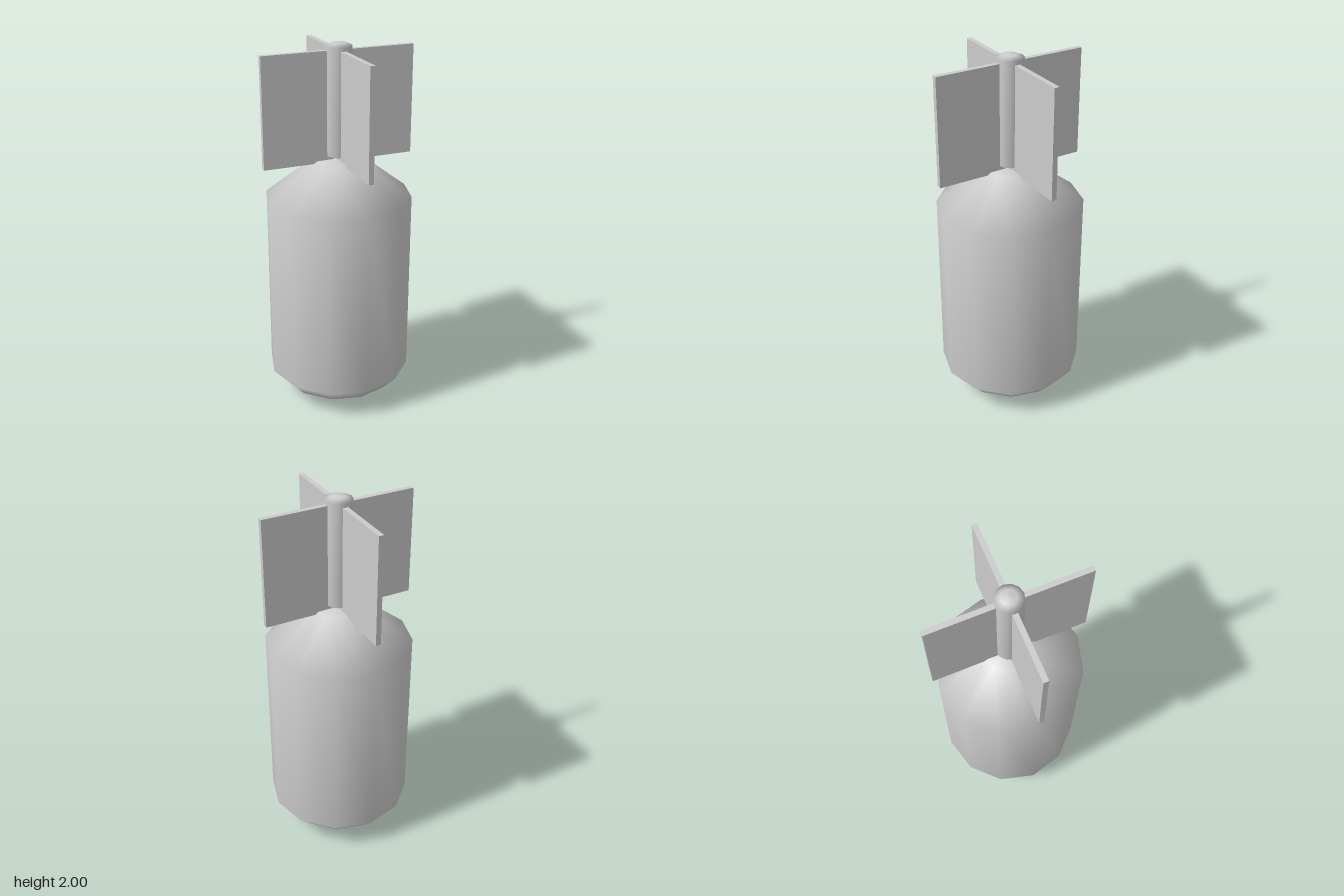
import * as THREE from 'three';

const material = new THREE.MeshStandardMaterial({ color: 0xcccccc });

// Twelve-sided smooth solid of revolution from [radius, height] points, bottom to top
function turned(name, profile) {
  const points = profile.map(([r, y]) => new THREE.Vector2(r, y));
  const mesh = new THREE.Mesh(new THREE.LatheGeometry(points, 12), material);
  mesh.name = name;
  return mesh;
}

export function createModel() {
  const model = new THREE.Group();
  model.name = 'finnedBomb';

  // Barrel body with shallow rounded nose and conical shoulder
  model.add(turned('body', [
    [0, 0], [0.13, 0.02], [0.32, 0.08], [0.395, 0.16],
    [0.395, 1.18], [0.13, 1.383], [0, 1.385],
  ]));

  // Tail rod with slightly domed ends
  model.add(turned('tailRod', [
    [0, 1.385], [0.04, 1.392], [0.073, 1.405],
    [0.073, 1.98], [0.04, 1.995], [0, 2],
  ]));

  // Four tail fins around the rod
  const inner = 0.03, outer = 0.42, bottom = 1.37, top = 1.96;
  const finGeometry = new THREE.BoxGeometry(outer - inner, top - bottom, 0.028);
  finGeometry.translate((inner + outer) / 2, (bottom + top) / 2, 0);
  const fins = new THREE.Group();
  fins.name = 'tailFins';
  for (let i = 0; i < 4; i++) {
    const fin = new THREE.Mesh(finGeometry, material);
    fin.name = `fin${i + 1}`;
    fin.rotation.y = (i * Math.PI) / 2;
    fins.add(fin);
  }
  model.add(fins);

  return model;
}
